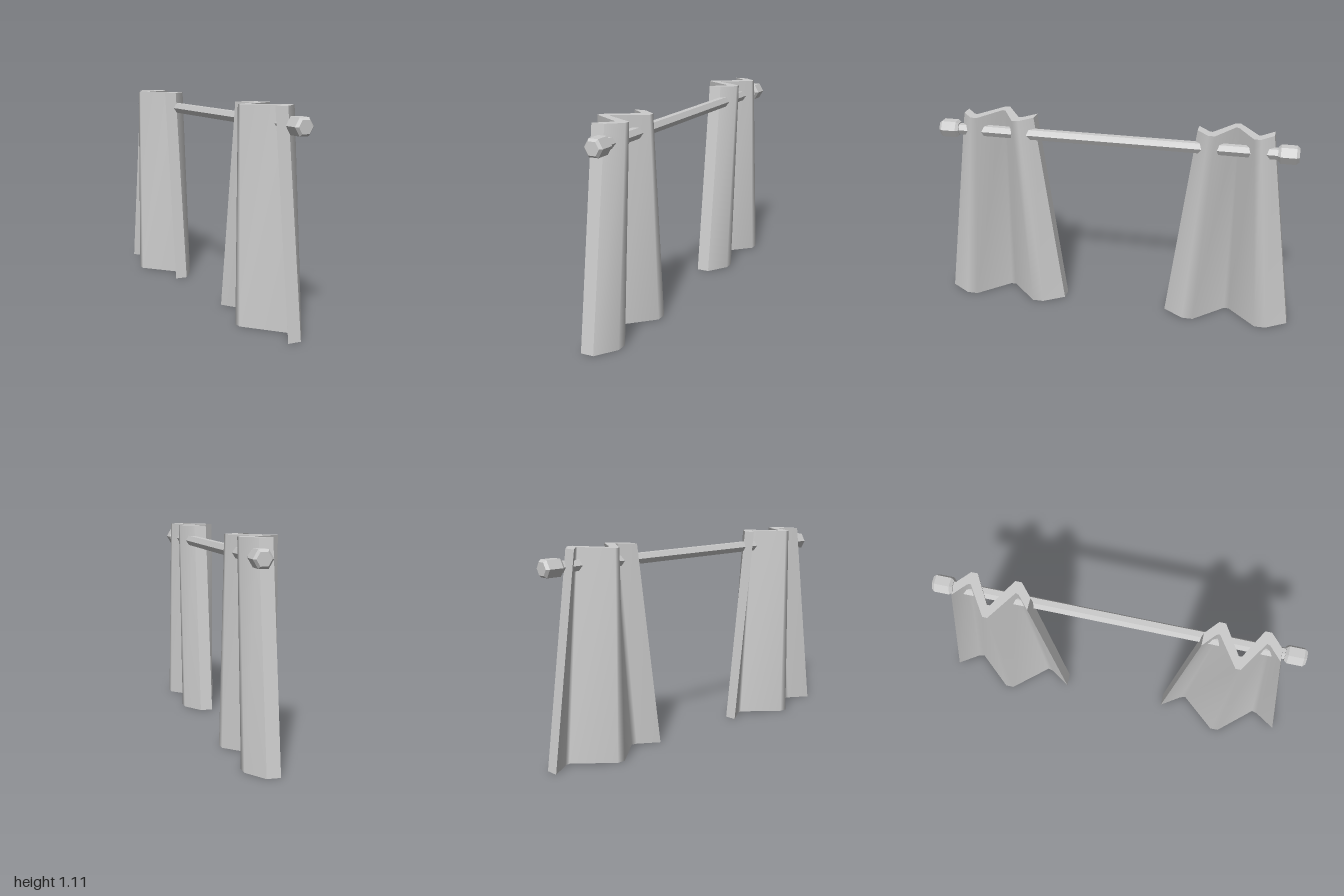
import * as THREE from 'three';
import { mergeGeometries } from 'three/addons/utils/BufferGeometryUtils.js';

const TOP = 1.11, FLARE = 1.75;

// Half of the folded section as [x, z]; the other half mirrors in z.
const OUTER = [[0.04, 0.2], [0.115, 0.135], [0.115, 0.1], [-0.045, 0.008]];
const INNER = [[-0.03, 0.2], [0.043, 0.137], [0.05, 0.12], [-0.115, 0.013]];
const mirrorZ = half => [...half, ...half.slice().reverse().map(([x, z]) => [x, -z])];

const low = ([x, z]) => [x, 0, z * FLARE];
const high = ([x, z]) => [x, TOP, z];

// Strip of quads between two equally long rows of points, smooth along the strip
function strip(rowA, rowB) {
  const n = rowA.length, index = [];
  for (let i = 0; i < n - 1; i++) {
    index.push(i, i + 1, n + i + 1, i, n + i + 1, n + i);
  }
  const geometry = new THREE.BufferGeometry();
  geometry.setAttribute('position', new THREE.Float32BufferAttribute([...rowA, ...rowB].flat(), 3));
  geometry.setIndex(index);
  geometry.computeVertexNormals();
  return geometry;
}

// Pleated cloth: two skins, two end edges, top and bottom edges
function curtainGeometry() {
  const outer = mirrorZ(OUTER), inner = mirrorZ(INNER);
  const back = inner.slice().reverse();
  const last = outer.length - 1;
  const wall = row => strip(row.map(low), row.map(high));
  return mergeGeometries([
    wall(outer),
    wall(back),
    wall([outer[last], inner[last]]),
    wall([inner[0], outer[0]]),
    strip(outer.map(high), inner.map(high)),
    strip(inner.map(low), outer.map(low)),
  ]);
}

// Six-sided turned part lying along z, with corners at left and right
function hexTurned(profile) {
  const points = profile.map(([r, y]) => new THREE.Vector2(r, y));
  return new THREE.LatheGeometry(points, 6, Math.PI / 2).rotateX(Math.PI / 2);
}

export function createModel() {
  const group = new THREE.Group();
  const cloth = new THREE.MeshStandardMaterial({ color: 0xcccccc });
  const metal = new THREE.MeshStandardMaterial({ color: 0xcccccc, flatShading: true });
  const add = (name, geometry, material, x, y, z) => {
    const mesh = new THREE.Mesh(geometry, material);
    mesh.name = name;
    mesh.position.set(x, y, z);
    group.add(mesh);
    return mesh;
  };

  // Rod
  const rodX = 0.055, rodY = 1.02;
  add('rod', hexTurned([[0, -0.9], [0.032, -0.9], [0.032, 0.9], [0, 0.9]]), metal, rodX, rodY, 0);

  // Curtains and bevelled end knobs
  const curtain = curtainGeometry();
  const knob = hexTurned([[0, -0.055], [0.038, -0.055], [0.051, -0.04], [0.051, 0.04], [0.038, 0.055], [0, 0.055]]);
  for (const [side, s] of [['front', 1], ['back', -1]]) {
    add(side + 'Curtain', curtain, cloth, 0, 0, s * 0.65);
    add(side + 'Finial', knob, metal, rodX, rodY, s * 0.93);
  }
  return group;
}
